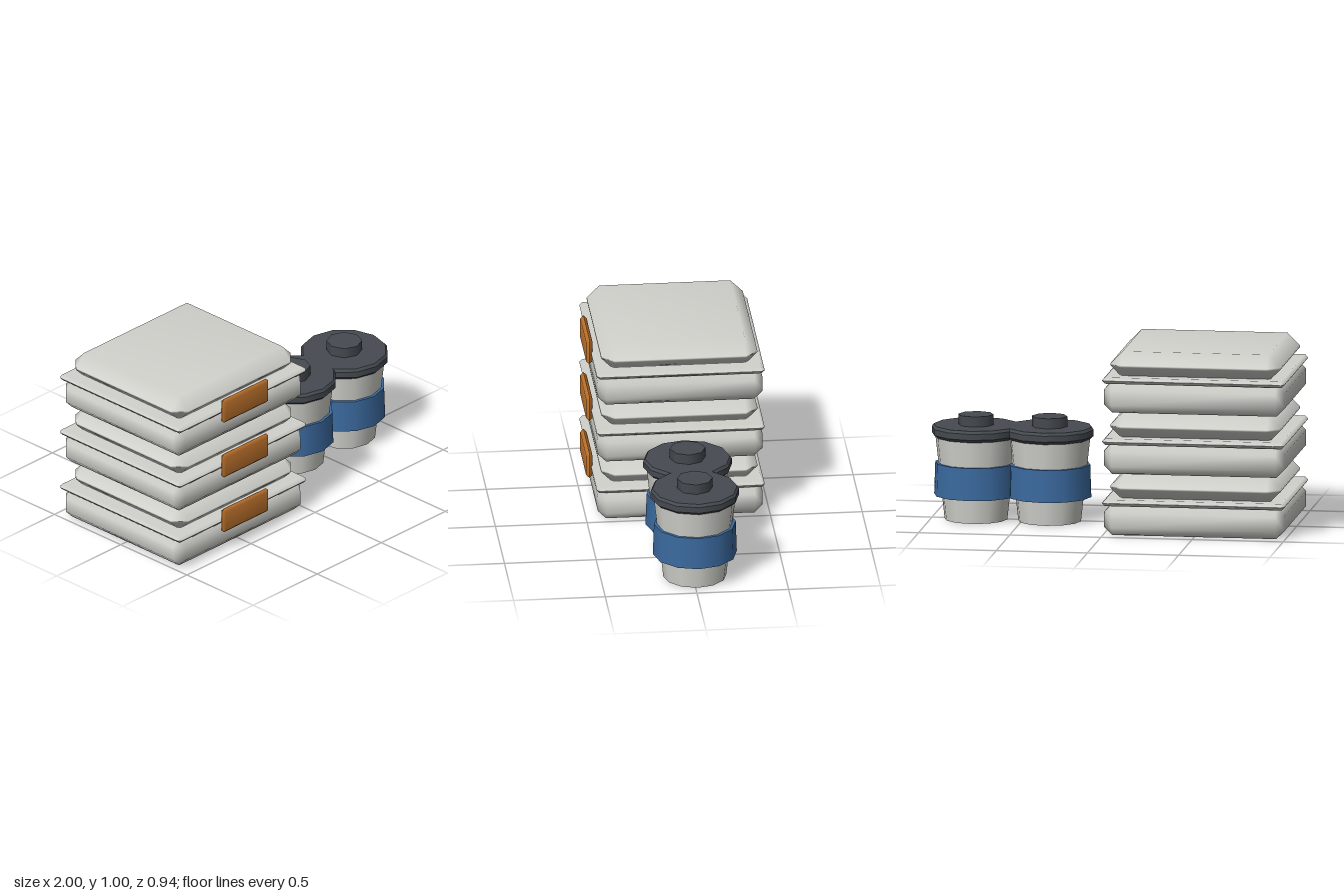
import * as THREE from 'three';
import { mergeVertices } from 'three/addons/utils/BufferGeometryUtils.js';
import { ConvexGeometry } from 'three/addons/geometries/ConvexGeometry.js';

const material = (name, color) => {
  const m = new THREE.MeshStandardMaterial({ color });
  m.name = name;
  return m;
};

// Box with single-step chamfers on every edge and normals smoothed across them
function chamferBox(w, h, d, b) {
  const points = [];
  for (const x of [-1, 1]) for (const y of [-1, 1]) for (const z of [-1, 1]) {
    for (let axis = 0; axis < 3; axis++) {
      const inset = [b, b, b];
      inset[axis] = 0;
      points.push(new THREE.Vector3(
        x * (w / 2 - inset[0]), y * (h / 2 - inset[1]), z * (d / 2 - inset[2])));
    }
  }
  let geometry = new ConvexGeometry(points);
  geometry.deleteAttribute('normal');
  geometry = mergeVertices(geometry, 1e-4);
  geometry.computeVertexNormals();
  return geometry;
}

function add(parent, name, geometry, mat, x, y, z) {
  const mesh = new THREE.Mesh(geometry, mat);
  mesh.name = name;
  mesh.position.set(x, y, z);
  parent.add(mesh);
  return mesh;
}

// Tapered round section standing between two heights
function section(parent, name, mat, y0, y1, r0, r1, sides = 12, open = false) {
  const geometry = new THREE.CylinderGeometry(r1, r0, y1 - y0, sides, 1, open);
  add(parent, name, geometry, mat, 0, (y0 + y1) / 2, 0);
}

export function createModel() {
  const model = new THREE.Group();
  model.name = 'takeawayContainersAndCups';

  const shell = material('pale grey', 0xd2d2cd);
  const orange = material('orange', 0xc9792f);
  const blue = material('blue', 0x3b6a9f);
  const dark = material('charcoal', 0x464b51);

  // Three stacked food boxes
  const base = chamferBox(0.99, 0.172, 0.898, 0.045);
  const rim = chamferBox(1.0, 0.035, 0.915, 0.016);
  const lid = chamferBox(0.935, 0.146, 0.852, 0.068);
  const clip = chamferBox(0.36, 0.144, 0.035, 0.0165);
  for (let i = 0; i < 3; i++) {
    const box = new THREE.Group();
    box.name = 'foodBox' + (i + 1);
    box.position.set(-0.5, i * 0.337, -0.0125);
    add(box, 'boxBase', base, shell, 0, 0.086, 0);
    add(box, 'boxRim', rim, shell, 0, 0.182, 0);
    add(box, 'boxLid', lid, shell, 0, 0.258, 0);
    add(box, 'boxClip', clip, orange, 0, 0.19, 0.467);
    model.add(box);
  }

  // Two lidded cups with sleeves
  for (const [i, x] of [0.353, 0.757].entries()) {
    const cup = new THREE.Group();
    cup.name = 'cup' + (i + 1);
    cup.position.set(x, 0, -0.0125);
    section(cup, 'cupBody', shell, 0, 0.46, 0.172, 0.223);
    section(cup, 'cupSleeve', blue, 0.135, 0.313, 0.229, 0.223);
    section(cup, 'cupLidLower', dark, 0.45, 0.472, 0.217, 0.242);
    section(cup, 'cupLidEdge', dark, 0.472, 0.505, 0.242, 0.242, 12, true);
    section(cup, 'cupLidUpper', dark, 0.505, 0.52, 0.242, 0.231);
    section(cup, 'cupLidKnob', dark, 0.515, 0.576, 0.097, 0.097, 8);
    model.add(cup);
  }

  return model;
}
